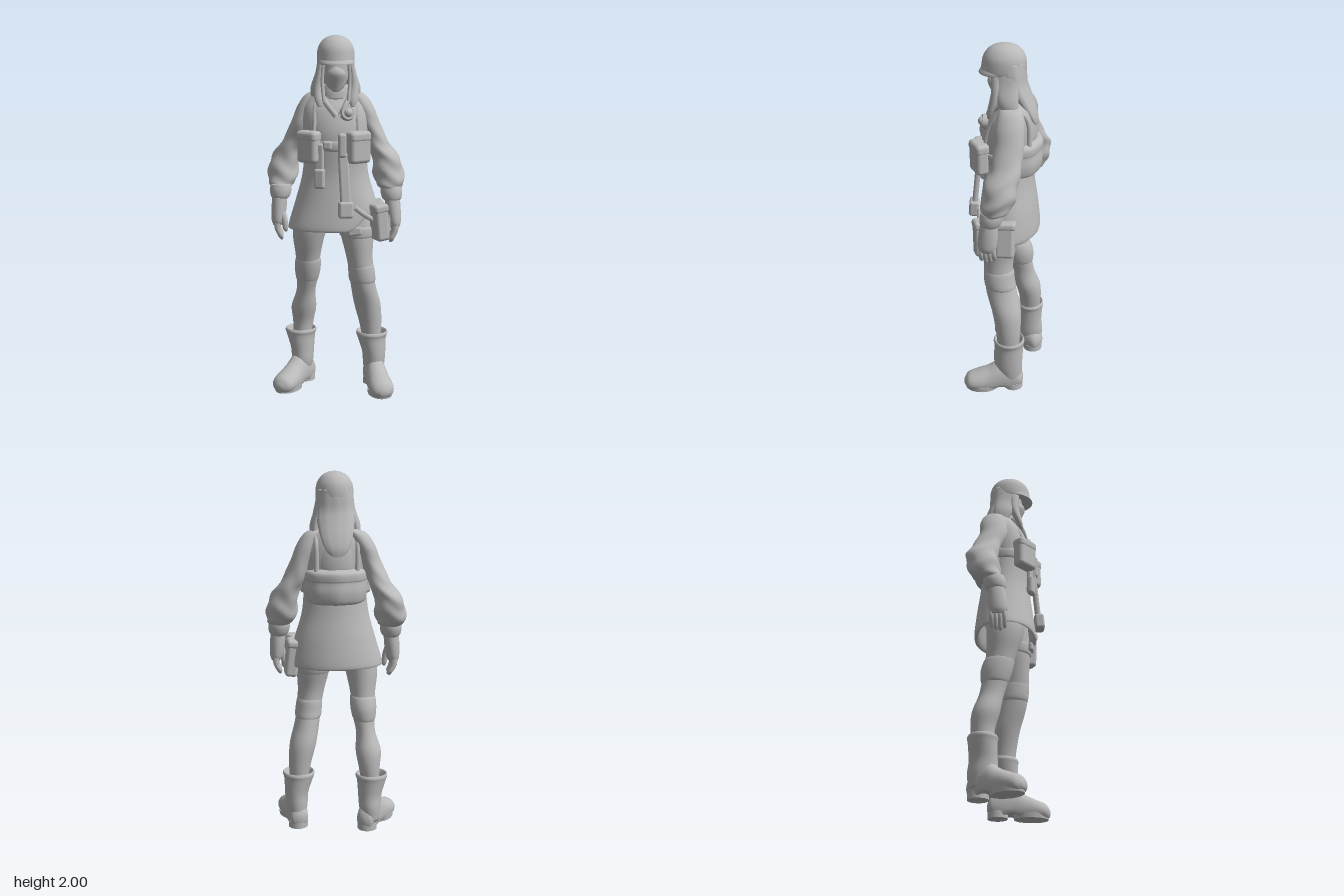
import * as THREE from 'three';
import { RoundedBoxGeometry } from 'three/addons/geometries/RoundedBoxGeometry.js';

const grey = new THREE.MeshStandardMaterial({ color: 0xbababa });
grey.name = 'plain grey';
const step = THREE.MathUtils.smoothstep;

// Smooth closed skin through elliptical sections [x, y, z, radiusX, radiusZ], listed upwards.
// fold(angle, t) scales the radius for cloth folds.
function loft(rows, fold = () => 1, segs = 28, sub = 5) {
  const centre = new THREE.CatmullRomCurve3(rows.map(r => new THREE.Vector3(r[0], r[1], r[2])), false, 'catmullrom', 0.5);
  const radius = new THREE.CatmullRomCurve3(rows.map(r => new THREE.Vector3(r[3], 0, r[4])), false, 'catmullrom', 0.5);
  const n = (rows.length - 1) * sub, pos = [], idx = [];
  for (let i = 0; i <= n; i++) {
    const t = i / n, c = centre.getPoint(t), r = radius.getPoint(t);
    for (let j = 0; j < segs; j++) {
      const a = j / segs * Math.PI * 2, k = fold(a, t);
      pos.push(c.x + Math.cos(a) * r.x * k, c.y, c.z + Math.sin(a) * r.z * k);
    }
  }
  const at = (i, j) => i * segs + j % segs;
  for (let i = 0; i < n; i++) for (let j = 0; j < segs; j++) {
    idx.push(at(i, j), at(i + 1, j), at(i, j + 1), at(i, j + 1), at(i + 1, j), at(i + 1, j + 1));
  }
  const first = rows[0], last = rows[rows.length - 1], c = pos.length / 3;
  pos.push(first[0], first[1], first[2], last[0], last[1], last[2]);
  for (let j = 0; j < segs; j++) idx.push(c, at(0, j), at(0, j + 1), c + 1, at(n, j + 1), at(n, j));
  const g = new THREE.BufferGeometry();
  g.setAttribute('position', new THREE.Float32BufferAttribute(pos, 3));
  g.setIndex(idx);
  g.computeVertexNormals();
  return g;
}

function reshape(g, rule) {
  const p = g.attributes.position, v = new THREE.Vector3();
  for (let i = 0; i < p.count; i++) {
    rule(v.fromBufferAttribute(p, i));
    p.setXYZ(i, v.x, v.y, v.z);
  }
  g.computeVertexNormals();
  return g;
}

export function createModel() {
  const model = new THREE.Group();
  const add = (name, geo, p = [0, 0, 0], r = [0, 0, 0]) => {
    const m = new THREE.Mesh(geo, grey);
    m.name = name;
    m.position.set(...p);
    m.rotation.set(...r);
    model.add(m);
  };
  const box = (name, w, h, d, p, r, round = 0.015) =>
    add(name, new RoundedBoxGeometry(w, h, d, 3, Math.min(round, w / 2.2, h / 2.2, d / 2.2)), p, r);
  const tube = (name, pts, rad) =>
    add(name, new THREE.TubeGeometry(new THREE.CatmullRomCurve3(pts.map(p => new THREE.Vector3(...p))), 32, rad, 8));

  // Coat: hollow flared skirt, waist and chest; the front left hem is lifted
  const coat = loft([
    [-0.01, 1.08, -0.005, 0.19, 0.13], [-0.01, 0.965, -0.01, 0.235, 0.15], [-0.01, 0.957, -0.012, 0.256, 0.172],
    [0, 1.1, -0.014, 0.222, 0.158], [0, 1.25, -0.012, 0.182, 0.139], [0, 1.4, -0.005, 0.172, 0.138],
    [0, 1.5, -0.012, 0.18, 0.142], [0, 1.6, -0.025, 0.178, 0.125], [0, 1.67, -0.04, 0.145, 0.095],
    [0, 1.72, -0.03, 0.075, 0.068]], (a, t) => 1 + 0.014 * Math.sin(a * 5 + t * 9) * (1 - t), 48);
  add('coat', reshape(coat, v => {
    v.y += 0.09 * step(v.x, 0.06, 0.2) * step(v.z, -0.03, 0.1) * (1 - step(v.y, 0.95, 1.2));
  }));

  // Coat collar, lapels and badge
  add('collar', loft([[0, 1.66, -0.025, 0.09, 0.09], [0, 1.7, -0.02, 0.085, 0.08], [0, 1.735, -0.015, 0.066, 0.066],
    [0, 1.72, -0.015, 0.055, 0.055]]));
  for (const s of [-1, 1]) {
    tube('lapel', [[s * 0.085, 1.69, 0.025], [s * 0.055, 1.64, 0.08], [0.01 + s * 0.01, 1.57, 0.11]], 0.016);
  }
  add('badge', new THREE.CylinderGeometry(0.036, 0.042, 0.03, 24), [0.06, 1.59, 0.112], [1.35, 0, -0.25]);
  add('badgeCentre', new THREE.SphereGeometry(0.025, 16, 10), [0.062, 1.592, 0.12]);

  // Head, mask and neck
  add('neck', new THREE.CylinderGeometry(0.045, 0.052, 0.13, 20), [0, 1.72, -0.005]);
  add('face', loft([[0, 1.7, 0.035, 0.025, 0.03], [0, 1.73, 0.025, 0.05, 0.05], [0, 1.78, 0.01, 0.068, 0.078],
    [0, 1.84, 0, 0.076, 0.084], [0, 1.9, 0, 0.076, 0.08]]));
  add('mask', loft([[0, 1.715, 0.05, 0.018, 0.02], [0, 1.75, 0.05, 0.042, 0.034], [0, 1.79, 0.05, 0.054, 0.05],
    [0, 1.815, 0.05, 0.045, 0.047], [0, 1.835, 0.05, 0.02, 0.035]]));

  // Helmet with a short brim
  add('helmet', loft([[0, 1.875, 0.012, 0.08, 0.09], [0, 1.85, 0.018, 0.098, 0.116], [0, 1.885, 0.014, 0.102, 0.118],
    [0, 1.935, 0.012, 0.095, 0.109], [0, 1.975, 0.01, 0.069, 0.08], [0, 1.994, 0.01, 0.035, 0.04],
    [0, 2, 0.01, 0.006, 0.006]], undefined, 40));
  add('helmetBrim', loft([[0, 1.856, 0.045, 0.08, 0.085], [0, 1.845, 0.045, 0.096, 0.101], [0, 1.858, 0.04, 0.099, 0.101],
    [0, 1.885, 0.03, 0.09, 0.09]], undefined, 40));

  // Long hair flowing from under the helmet, curtains and loose locks beside the face
  add('backHair', loft([[0, 1.55, -0.15, 0.03, 0.012], [0, 1.6, -0.145, 0.062, 0.022], [0, 1.66, -0.12, 0.086, 0.034],
    [0, 1.74, -0.078, 0.1, 0.048], [0, 1.8, -0.045, 0.1, 0.063], [0, 1.86, -0.022, 0.1, 0.082],
    [0, 1.91, -0.01, 0.094, 0.09]], a => 1 + 0.012 * Math.sin(a * 11), 44));
  for (const s of [-1, 1]) {
    add('sideHair', loft([[s * 0.115, 1.65, -0.035, 0.02, 0.04], [s * 0.108, 1.72, -0.02, 0.028, 0.055],
      [s * 0.088, 1.8, -0.01, 0.022, 0.06], [s * 0.08, 1.87, 0, 0.018, 0.06]]));
    add('frontLock', loft([[s * 0.088, 1.62, 0.085, 0.01, 0.008], [s * 0.092, 1.66, 0.072, 0.024, 0.018],
      [s * 0.096, 1.74, 0.045, 0.024, 0.024], [s * 0.08, 1.86, 0.04, 0.016, 0.028]]));
    tube('thinLock', [[s * 0.07, 1.85, 0.062], [s * 0.074, 1.76, 0.062], [s * 0.066, 1.65, 0.085]], 0.01);
  }

  // Arms: puffed creased sleeve, cuff, palm, fingers and thumb; z offsets set each arm's pose
  function arm(s, zs, ze, zh) {
    const folds = (a, t) => 1 + 0.05 * Math.sin(t * 34 + Math.sin(a * 2) * 2.2) * (1 - step(t, 0.4, 0.8));
    add('sleeve', loft([[s * 0.305, 1.165, zh - 0.015, 0.05, 0.05], [s * 0.298, 1.195, ze + 0.025, 0.076, 0.078],
      [s * 0.29, 1.26, ze + 0.005, 0.085, 0.088], [s * 0.276, 1.34, ze - 0.006, 0.074, 0.087],
      [s * 0.232, 1.42, (zs + ze) / 2 - 0.01, 0.062, 0.08], [s * 0.19, 1.52, zs, 0.057, 0.078],
      [s * 0.155, 1.61, zs, 0.056, 0.077], [s * 0.115, 1.675, zs, 0.052, 0.062], [s * 0.08, 1.7, zs, 0.03, 0.04]], folds, 36, 7));
    add('cuff', loft([[s * 0.309, 1.1, zh - 0.005, 0.035, 0.04], [s * 0.308, 1.115, zh - 0.005, 0.052, 0.055],
      [s * 0.306, 1.15, zh - 0.01, 0.06, 0.062], [s * 0.304, 1.185, zh - 0.015, 0.056, 0.058]]));
    add('palm', loft([[s * 0.325, 0.955, zh + 0.01, 0.024, 0.038], [s * 0.322, 0.985, zh + 0.01, 0.036, 0.051],
      [s * 0.316, 1.05, zh + 0.005, 0.042, 0.052], [s * 0.31, 1.12, zh, 0.042, 0.046]]));
    for (let f = 0; f < 4; f++) {
      const z = zh + 0.044 - f * 0.023, tip = 0.868 + Math.abs(f - 1.3) * 0.012;
      add('finger', loft([[s * 0.302, tip, z, 0.004, 0.004], [s * 0.306, tip + 0.015, z, 0.014, 0.012],
        [s * 0.324, 0.94, z, 0.017, 0.013], [s * 0.324, 0.99, z, 0.017, 0.013]], undefined, 12));
    }
    add('thumb', loft([[s * 0.278, 0.92, zh + 0.04, 0.005, 0.005], [s * 0.28, 0.94, zh + 0.04, 0.015, 0.015],
      [s * 0.288, 1.0, zh + 0.036, 0.018, 0.018], [s * 0.308, 1.06, zh + 0.02, 0.02, 0.02]], undefined, 14));
  }
  arm(1, -0.037, -0.005, 0.05);
  arm(-1, -0.07, -0.118, -0.04);

  // Legs
  add('leftLeg', loft([[0.208, 0.28, -0.038, 0.052, 0.062], [0.2, 0.38, -0.035, 0.064, 0.071],
    [0.182, 0.49, -0.024, 0.075, 0.082], [0.157, 0.6, 0.006, 0.07, 0.086], [0.143, 0.7, 0.024, 0.069, 0.082],
    [0.13, 0.8, 0.028, 0.076, 0.084], [0.118, 0.92, 0.018, 0.093, 0.1], [0.1, 1.08, 0, 0.1, 0.11]]));
  add('rightLeg', loft([[-0.19, 0.28, -0.115, 0.05, 0.058], [-0.184, 0.37, -0.117, 0.06, 0.064],
    [-0.18, 0.46, -0.102, 0.071, 0.073], [-0.168, 0.56, -0.075, 0.054, 0.066], [-0.157, 0.66, -0.052, 0.062, 0.072],
    [-0.155, 0.78, -0.028, 0.07, 0.08], [-0.147, 0.92, -0.005, 0.092, 0.1], [-0.11, 1.08, 0, 0.1, 0.11]]));
  add('rightKneePad', loft([[-0.162, 0.62, -0.06, 0.05, 0.06], [-0.16, 0.64, -0.058, 0.064, 0.074],
    [-0.157, 0.7, -0.049, 0.073, 0.085], [-0.155, 0.755, -0.036, 0.071, 0.082], [-0.155, 0.775, -0.033, 0.058, 0.07]]));
  add('leftKneePad', loft([[0.152, 0.62, 0.01, 0.058, 0.07], [0.15, 0.64, 0.014, 0.073, 0.086],
    [0.146, 0.68, 0.021, 0.075, 0.087], [0.14, 0.735, 0.025, 0.071, 0.084], [0.138, 0.75, 0.026, 0.058, 0.07]]));

  // Boots: flared shaft, high instep flattened on the ground, sole and heel
  function boot(side, x, z, topX, yaw, rz) {
    add(side + 'BootShaft', loft([[x, 0.05, z - 0.015, 0.05, 0.06], [x, 0.13, z - 0.005, 0.062, 0.078],
      [x, 0.2, z - 0.002, 0.067, rz - 0.002], [topX, 0.285, z - 0.005, 0.082, rz], [topX, 0.313, z - 0.005, 0.09, rz + 0.004],
      [topX, 0.325, z - 0.005, 0.082, rz - 0.006], [topX, 0.28, z - 0.005, 0.06, 0.06]]));
    const foot = loft([[0, -0.088, -0.06, 0.015, 0.02], [0, -0.07, -0.06, 0.046, 0.06], [0, -0.01, -0.07, 0.058, 0.105],
      [0, 0.05, -0.07, 0.061, 0.108], [0, 0.11, -0.055, 0.066, 0.084], [0, 0.18, -0.046, 0.07, 0.062],
      [0, 0.228, -0.041, 0.057, 0.046], [0, 0.252, -0.036, 0.02, 0.016]]).rotateX(Math.PI / 2);
    add(side + 'Foot', reshape(foot, v => {
      v.y = Math.max(v.y, 0.006 + 0.02 * step(v.z, -0.02, 0.03) * (1 - step(v.z, 0.05, 0.1)));
    }), [x, 0, z], [0, yaw, 0]);
    const front = new THREE.CylinderGeometry(0.07, 0.067, 0.03, 28).scale(1, 1, 1.4);
    add(side + 'Sole', front, [x + Math.sin(yaw) * 0.15, 0.015, z + Math.cos(yaw) * 0.15], [0, yaw, 0]);
    const heel = new THREE.CylinderGeometry(0.055, 0.055, 0.036, 24);
    add(side + 'Heel', heel, [x - Math.sin(yaw) * 0.032, 0.018, z - Math.cos(yaw) * 0.032], [0, yaw, 0]);
  }
  boot('left', 0.222, -0.037, 0.21, 0.17, 0.084);
  boot('right', -0.19, -0.11, -0.198, -0.57, 0.076);

  // Chest belt, shoulder straps and pouches
  add('chestBelt', loft([[0, 1.385, -0.005, 0.165, 0.13], [0, 1.39, -0.005, 0.18, 0.146], [0, 1.435, -0.008, 0.184, 0.149],
    [0, 1.44, -0.008, 0.17, 0.13]], undefined, 40, 3));
  for (const s of [-1, 1]) {
    tube('shoulderStrap', [[s * 0.12, 1.46, 0.1], [s * 0.115, 1.57, 0.074], [s * 0.11, 1.662, 0.01], [s * 0.11, 1.68, -0.06],
      [s * 0.11, 1.63, -0.12], [s * 0.11, 1.48, -0.135]], 0.013);
    const px = s > 0 ? 0.118 : -0.148, pz = s > 0 ? 0.132 : 0.105, yaw = s > 0 ? 0.55 : -0.7;
    box('chestPouch', 0.128, 0.165, 0.07, [px, 1.405, pz], [0, yaw, 0], 0.022);
    box('pouchFlap', 0.132, 0.06, 0.077, [px, 1.466, pz], [0, yaw, 0], 0.022);
  }
  box('smallPouch', 0.045, 0.13, 0.05, [0.03, 1.42, 0.146], [0, 0.1, 0]);
  box('buckle', 0.05, 0.05, 0.03, [-0.05, 1.42, 0.143], [0, -0.2, 0]);

  // Hanging straps with weighted ends
  box('shortStrap', 0.048, 0.24, 0.026, [-0.092, 1.31, 0.132], [0.03, -0.3, 0]);
  box('shortStrapEnd', 0.06, 0.11, 0.036, [-0.092, 1.24, 0.138], [0, -0.3, 0]);
  box('longStrap', 0.058, 0.3, 0.03, [0.042, 1.23, 0.158], [-0.1, 0.1, 0.05]);
  box('longStrapEnd', 0.08, 0.09, 0.055, [0.048, 1.075, 0.175], [-0.08, 0.12, 0]);

  // Back panel and rounded pack wrapping the back
  add('backPanel', loft([[0, 1.47, -0.045, 0.11, 0.1], [0, 1.49, -0.045, 0.135, 0.118], [0, 1.57, -0.048, 0.132, 0.115],
    [0, 1.65, -0.055, 0.118, 0.09], [0, 1.665, -0.055, 0.09, 0.07]], undefined, 36));
  add('backPack', loft([[0, 1.3, -0.05, 0.14, 0.1], [0, 1.315, -0.05, 0.16, 0.13], [0, 1.37, -0.052, 0.17, 0.14],
    [0, 1.425, -0.052, 0.168, 0.135], [0, 1.435, -0.052, 0.175, 0.14], [0, 1.475, -0.052, 0.172, 0.139],
    [0, 1.495, -0.05, 0.14, 0.11]], a => 1 + 0.015 * Math.cos(a * 8), 48));

  // Thigh strap, holster and hip pouch on the left
  add('thighStrap', loft([[0.119, 0.9, 0.017, 0.085, 0.095], [0.119, 0.907, 0.017, 0.098, 0.108],
    [0.117, 0.955, 0.014, 0.104, 0.113], [0.116, 0.962, 0.014, 0.09, 0.1]], undefined, 28, 3));
  box('strapClip', 0.08, 0.05, 0.03, [0.1, 0.945, 0.124], [0, 0, 0.1]);
  tube('holsterStrap', [[0.1, 1.08, 0.136], [0.15, 1.04, 0.128], [0.21, 1.0, 0.1]], 0.014);
  box('holster', 0.078, 0.19, 0.11, [0.235, 0.985, 0.092], [0, 0.4, 0.1], 0.02);
  box('holsterFlap', 0.086, 0.05, 0.122, [0.227, 1.07, 0.092], [0, 0.4, 0.1], 0.018);
  box('hipPouch', 0.07, 0.19, 0.105, [0.24, 0.98, -0.022], [0, 0.05, 0.1], 0.02);
  box('hipPouchFlap', 0.078, 0.045, 0.115, [0.231, 1.07, -0.024], [0, 0.05, 0.1], 0.018);
  return model;
}
